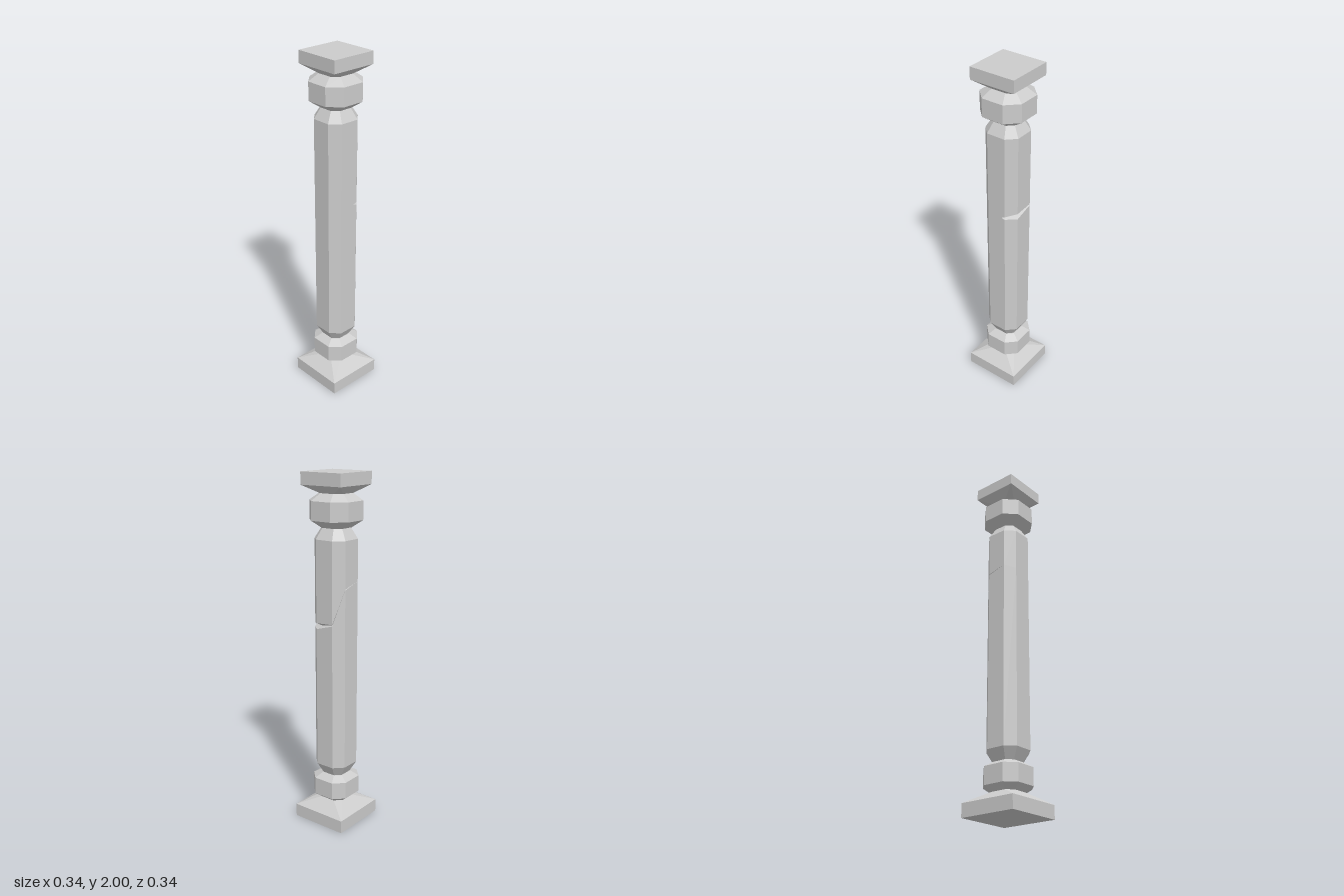
import * as THREE from 'three';

// Chamfered-square ring: half = half width, flat = half length of each main side.
// An extra point on the +x side marks the tip of the crack.
function ring(y, half, flat) {
  const h = half, f = flat;
  return [[h, f], [h, -f * 0.6], [h, -f], [f, -h], [-f, -h], [-h, -f], [-h, f], [-f, h], [f, h]]
    .map(([x, z]) => new THREE.Vector3(x, y, z));
}

// Joins rings into a closed, faceted solid.
function loft(name, rings, material) {
  const pos = [];
  const tri = (a, b, c) => {
    const area = b.clone().sub(a).cross(c.clone().sub(a)).length();
    if (area > 1e-8) pos.push(...a.toArray(), ...b.toArray(), ...c.toArray());
  };
  const n = rings[0].length;
  for (let r = 0; r < rings.length - 1; r++) {
    const lo = rings[r], hi = rings[r + 1];
    for (let i = 0; i < n; i++) {
      const j = (i + 1) % n;
      tri(lo[i], lo[j], hi[j]);
      tri(lo[i], hi[j], hi[i]);
    }
  }
  const first = rings[0], last = rings[rings.length - 1];
  for (let i = 1; i < n - 1; i++) {
    tri(first[0], first[i + 1], first[i]);
    tri(last[0], last[i], last[i + 1]);
  }
  const geometry = new THREE.BufferGeometry();
  geometry.setAttribute('position', new THREE.Float32BufferAttribute(pos, 3));
  geometry.computeVertexNormals();
  const mesh = new THREE.Mesh(geometry, material);
  mesh.name = name;
  return mesh;
}

export function createModel() {
  const group = new THREE.Group();
  group.name = 'column';
  const stone = new THREE.MeshStandardMaterial({ color: 0xcccccc, flatShading: true });
  const part = (name, ...rings) => group.add(loft(name, rings, stone));

  // Square plinth sloping up to an eight-sided neck
  part('plinth', ring(0, 0.168, 0.168), ring(0.075, 0.168, 0.168), ring(0.13, 0.08, 0.045));

  // Eight-sided collars
  part('lowerCollar', ring(0.13, 0.08, 0.042), ring(0.16, 0.118, 0.062),
    ring(0.26, 0.118, 0.062), ring(0.287, 0.074, 0.04));
  part('upperCollar', ring(1.71, 0.074, 0.04), ring(1.75, 0.131, 0.064),
    ring(1.852, 0.131, 0.064), ring(1.89, 0.08, 0.042));

  // Crack around the back of the shaft: middle height, half opening and depth per corner
  const crack = [
    [1.17, 0, 0], [1.166, 0, 0], [1.17, 0.008, 0.15], [1.175, 0.017, 0.3], [1.195, 0.004, 0.12],
    [1.39, 0.002, 0.04], [1.42, 0, 0], [1.4, 0, 0], [1.25, 0, 0],
  ];
  const crackRing = (side, cut) => ring(0, 0.105, 0.055).map((p, i) => {
    const [y, gap, depth] = crack[i];
    const s = 1 - depth * cut;
    return p.set(p.x * s, y + side * gap, p.z * s);
  });

  // Shaft with tapered ends
  part('shaft', ring(0.287, 0.07, 0.038), ring(0.35, 0.105, 0.055),
    crackRing(-1, 0), crackRing(0, 1), crackRing(1, 0),
    ring(1.65, 0.105, 0.055), ring(1.71, 0.07, 0.038));

  // Square top slab flaring out of its neck
  part('capital', ring(1.89, 0.08, 0.045), ring(1.932, 0.133, 0.133), ring(2, 0.133, 0.133));

  return group;
}
